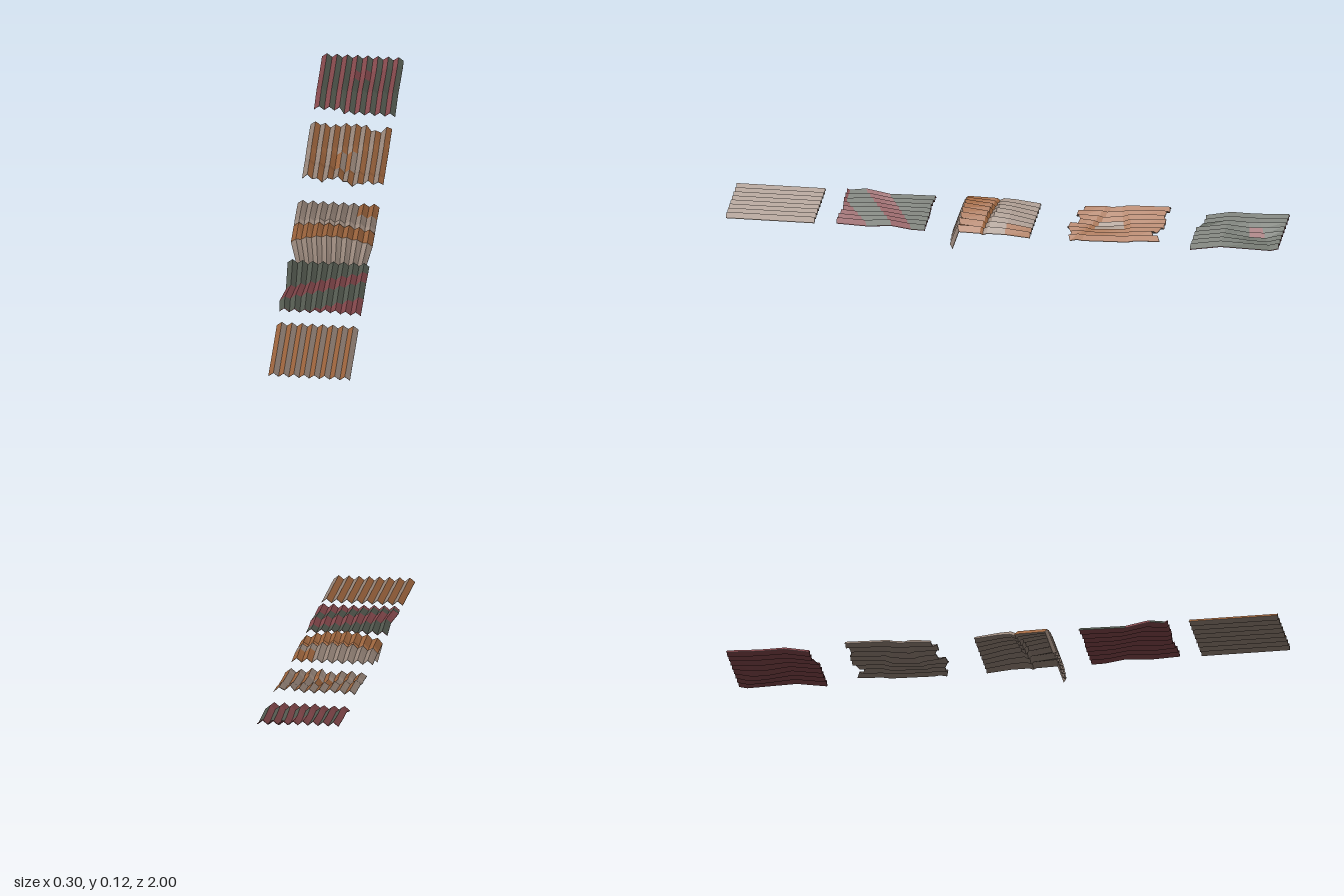
import * as THREE from 'three';

const GREY = 0x9a887c, RUST = 0xa0673f, GREEN = 0x555b51, RED = 0x86494d;
const HALF = 0.147, STRIPS = 16;
const lerp = THREE.MathUtils.lerp;

// One corrugated sheet: rows are functions of t (-1..1 across x), ordered from back to front,
// each giving { z, y, x (scale), wy, wz (wave height) }.
function corrugatedSheet(name, rows, topColor, underColor) {
  const group = new THREE.Group();
  group.name = name;
  const tris = new Map();
  const quad = (key, color, a, b, c, d) => {
    const id = key + ':' + color;
    if (!tris.has(id)) tris.set(id, { key, color, pos: [] });
    for (const p of [a, b, c, a, c, d]) tris.get(id).pos.push(p.x, p.y, p.z);
  };

  const top = rows.map(row => Array.from({ length: STRIPS + 1 }, (_, i) => {
    const t = i / STRIPS * 2 - 1;
    const { z, y, x = 1, wy = 0.0075, wz = 0 } = row(t);
    const s = i % 2 ? 1 : -1;
    return new THREE.Vector3(t * HALF * x, y + s * wy, z + s * wz);
  }));
  const under = p => new THREE.Vector3(p.x, Math.max(0, p.y - 0.002), p.z - 0.0015);

  // Upper and lower skins
  for (let j = 0; j < rows.length - 1; j++) {
    for (let i = 0; i < STRIPS; i++) {
      const a = top[j][i], b = top[j][i + 1], c = top[j + 1][i + 1], d = top[j + 1][i];
      const t = (i + 0.5) / STRIPS * 2 - 1;
      quad('topSkin', topColor(j, i % 2 === 1, t), a, d, c, b);
      quad('underside', underColor, under(a), under(b), under(c), under(d));
    }
  }

  // Thin rim around the outline
  const last = rows.length - 1;
  const loop = [
    ...top[last],
    ...top.slice(1, last).reverse().map(r => r[STRIPS]),
    ...[...top[0]].reverse(),
    ...top.slice(1, last).map(r => r[0]),
  ];
  loop.forEach((p, i) => {
    const q = loop[(i + 1) % loop.length];
    quad('rim', underColor, under(p), under(q), q, p);
  });

  for (const { key, color, pos } of tris.values()) {
    const g = new THREE.BufferGeometry();
    g.setAttribute('position', new THREE.Float32BufferAttribute(pos, 3));
    g.computeVertexNormals();
    const mesh = new THREE.Mesh(g, new THREE.MeshStandardMaterial({ color, flatShading: true }));
    mesh.name = key;
    group.add(mesh);
  }
  return group;
}

// Straight crease from the -x edge to the +x edge
const across = (left, right, t) => lerp(left, right, (t + 1) / 2);
const bump = (t, centre, width) => Math.max(0, 1 - Math.abs(t - centre) / width);

export function createModel() {
  const model = new THREE.Group();

  // Flat undamaged sheet
  model.add(corrugatedSheet('flatSheet', [
    () => ({ z: 0.68, y: 0.088 }),
    () => ({ z: 1, y: 0.088 }),
  ], (j, right) => right ? GREY : RUST, GREY));

  // Sheet with diagonal creases and colour bands
  model.add(corrugatedSheet('creasedSheet', [
    t => ({ z: 0.28 + 0.005 * bump(t, -0.4, 0.5), y: 0.084 }),
    t => ({ z: across(0.45, 0.33, t), y: 0.085, x: t < 0 ? 0.93 : 1 }),
    t => ({ z: across(0.54, 0.40, t), y: 0.095, x: t < 0 ? 1.03 : 1 }),
    t => ({ z: Math.min(0.59, across(0.645, 0.49, t)), y: 0.088 }),
    t => ({ z: 0.6 - 0.008 * bump(t, 0.2, 0.5), y: 0.092 }),
  ], j => j % 2 ? RED : GREEN, RED));

  // Bent sheet: arched ridge, gully behind it, folded-down front skirt
  const arch = t => 1 - t * t;
  model.add(corrugatedSheet('foldedSheet', [
    () => ({ z: -0.1, y: 0.078 }),
    t => ({ z: -0.01, y: 0.086 + 0.01 * arch(t) }),
    t => ({ z: across(0.03, 0.055, t), y: 0.086 + 0.016 * arch(t) }),
    t => ({ z: across(0.045, 0.07, t), y: 0.08 + 0.01 * arch(t) }),
    t => ({ z: across(0.055, 0.08, t), y: 0.085 + 0.018 * arch(t) }),
    t => ({ z: 0.16, y: 0.085 + 0.031 * arch(t), wy: 0.006, wz: 0.003 }),
    t => ({ z: 0.188 + 0.006 * arch(t), y: 0.006 + 0.008 * arch(t), x: 0.85, wy: 0.004, wz: 0.005 }),
  ], (j, right, t) => {
    if (j === 5) return GREY;
    if (j > 2) return RUST;
    return j === 0 && t > 0.45 ? RUST : GREY;
  }, GREY));

  // Torn sheet: ragged ends and a dented middle
  const dent = t => 0.016 * bump(t, 0, 0.8);
  model.add(corrugatedSheet('tornSheet', [
    t => ({ z: -0.57 + 0.04 * bump(t, 0.65, 0.3) + 0.015 * bump(t, -0.45, 0.3), y: 0.094 }),
    t => ({ z: across(-0.41, -0.48, t), y: 0.09 - 0.3 * dent(t) }),
    t => ({ z: across(-0.39, -0.45, t), y: 0.084 - 0.6 * dent(t) }),
    t => ({ z: across(-0.36, -0.29, t), y: 0.08 - dent(t) }),
    t => ({ z: across(-0.34, -0.27, t), y: 0.083 - 0.7 * dent(t) }),
    t => ({ z: -0.25 + 0.03 * bump(t, 0.4, 0.4) + 0.012 * Math.sin(t * 9), y: 0.077 }),
  ], (j, right, t) => {
    if (j === 2 && Math.abs(t) < 0.3) return right ? GREY : RUST;
    return right ? RUST : GREY;
  }, GREY));

  // Sheet with a drooping front and a sunken back
  model.add(corrugatedSheet('droopingSheet', [
    () => ({ z: -1, y: 0.092 }),
    t => ({ z: across(-0.88, -0.97, t), y: 0.087 - 0.012 * bump(t, 0.4, 0.8) }),
    t => ({ z: across(-0.85, -0.9, t), y: 0.087 - 0.012 * bump(t, 0.3, 0.8) }),
    () => ({ z: -0.79, y: 0.088 }),
    t => ({ z: t < -0.3 ? -0.7 : -0.68, y: 0.07 }),
  ], (j, right, t) => {
    if (j === 1 && t > -0.3 && t < 0.4) return RED;
    return right ? GREEN : RED;
  }, RED));

  return model;
}
